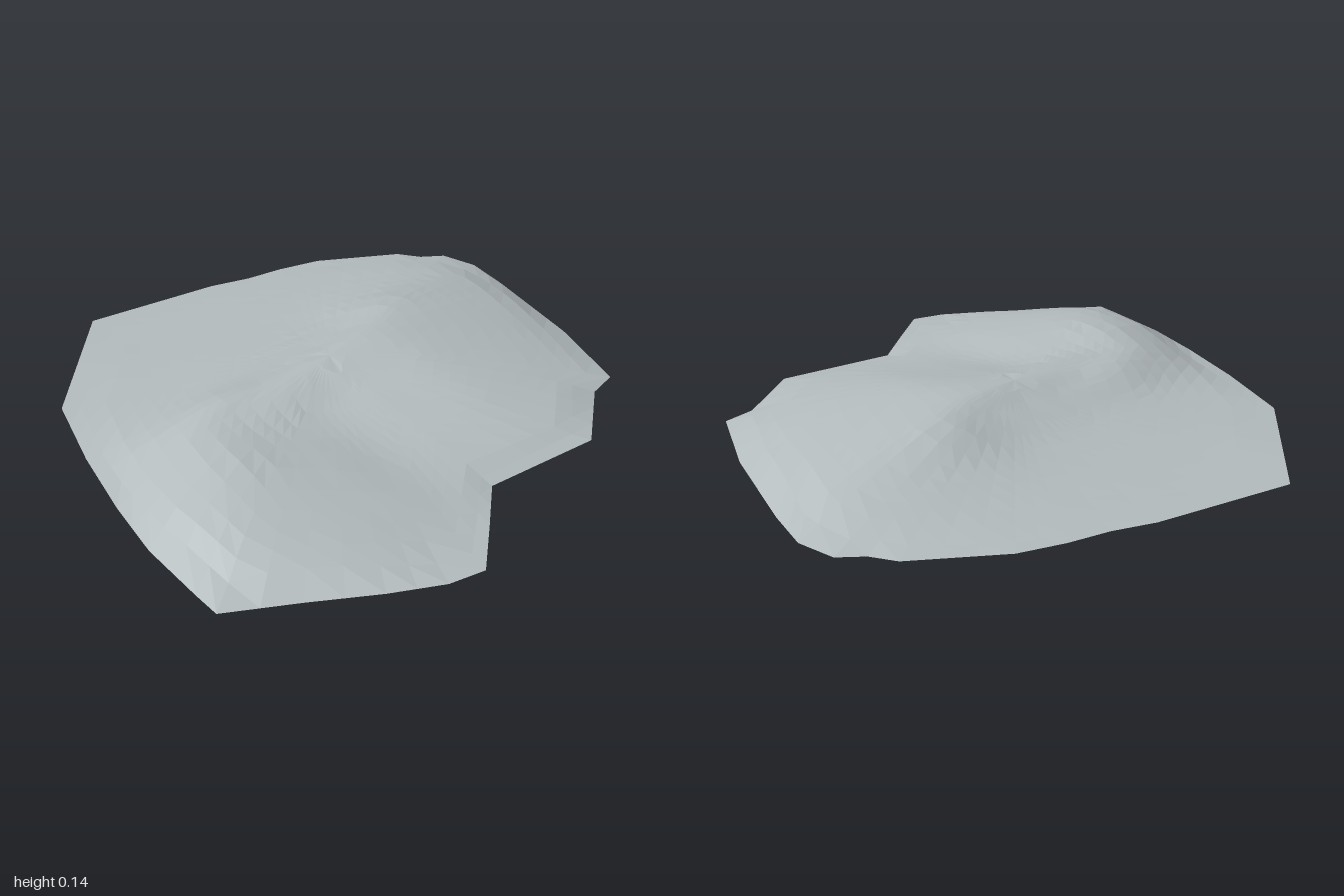
import * as THREE from 'three';

// Shoreline seen from above: x, z, counter-clockwise from the back
const OUTLINE = [
  [-0.16, -1], [-0.29, -0.985], [-0.35, -0.92], [-0.43, -0.88], [-0.62, -0.64], [-0.68, -0.5],
  [-0.72, -0.37], [-0.78, -0.24], [-0.91, 0.21], [-0.56, 0.64], [-0.29, 0.77], [-0.04, 0.87],
  [0.17, 0.94], [0.4, 0.985], [0.49, 1], [0.63, 0.82], [0.77, 0.65], [0.87, 0.51], [0.91, 0.4],
  [0.8, 0.23], [0.7, 0.08], [0.79, -0.31], [0.65, -0.55], [0.64, -0.66], [0.36, -0.81], [0, -0.95],
];

// Height profiles across the ridge, in thousandths; one row for every 0.2 of z
const COLUMNS = [-0.9, -0.6, -0.4, -0.25, -0.1, 0, 0.15, 0.35, 0.55, 0.8];
const PROFILES = [
  [0, 5, 5, 10, 10, 10, 10, 10, 5, 5],
  [0, 2, 15, 36, 56, 60, 50, 20, 10, 5],
  [0, 5, 25, 55, 95, 101, 87, 60, 30, 8],
  [0, 10, 30, 63, 124, 130, 116, 87, 52, 10],
  [0, 12, 30, 55, 108, 142, 130, 97, 57, 12],
  [0, 12, 30, 55, 102, 135, 112, 78, 46, 10],
  [0, 12, 30, 55, 104, 125, 88, 62, 42, 12],
  [0, 12, 26, 52, 116, 112, 99, 86, 60, 15],
  [0, 6, 20, 40, 84, 106, 121, 100, 66, 20],
  [0, 3, 10, 14, 24, 50, 80, 87, 50, 12],
  [10, 10, 10, 10, 10, 10, 12, 14, 12, 10],
];

const { clamp } = THREE.MathUtils;

// Smooth interpolation through evenly indexed values
function sample(values, t) {
  const last = values.length - 1;
  const i = Math.min(Math.floor(t), last - 1);
  const at = (k) => values[clamp(k, 0, last)];
  const [a, b, c, d] = [at(i - 1), at(i), at(i + 1), at(i + 2)];
  const f = t - i;
  return b + 0.5 * f * (c - a + f * (2 * a - 5 * b + 4 * c - d + f * (3 * (b - c) + d - a)));
}

function heightAt(x, z) {
  const cx = clamp(x, COLUMNS[0], COLUMNS[COLUMNS.length - 1]);
  let i = 0;
  while (i < COLUMNS.length - 2 && cx > COLUMNS[i + 1]) i++;
  const u = i + (cx - COLUMNS[i]) / (COLUMNS[i + 1] - COLUMNS[i]);
  const v = clamp((z + 1) * 5, 0, 10);
  return Math.max(0, sample(PROFILES.map((row) => sample(row, u)), v)) / 1000;
}

// Edge height: resting on the ground at the left, slightly raised at the front
const edgeHeight = (x, z) => clamp(0.006 + 0.006 * x + 0.006 * z, 0, 0.016);

function hillGeometry() {
  const rings = 13;
  const loop = [];
  OUTLINE.forEach(([x, z], i) => {
    const [nx, nz] = OUTLINE[(i + 1) % OUTLINE.length];
    const steps = Math.max(1, Math.round(Math.hypot(nx - x, nz - z) / 0.1));
    for (let k = 0; k < steps; k++) {
      loop.push([x + ((nx - x) * k) / steps, z + ((nz - z) * k) / steps]);
    }
  });
  const n = loop.length;
  const positions = [0, heightAt(0, 0), 0];
  const index = [];
  for (let r = 1; r <= rings; r++) {
    loop.forEach(([ex, ez], j) => {
      // Uneven spacing inside gives irregular facets
      const wobble = r < rings ? 0.22 * Math.sin(j * 12.9 + r * 7.3) : 0;
      const s = (r + wobble) / rings;
      const x = ex * s;
      const z = ez * s;
      const fade = Math.min(1, (1 - s) / 0.1);
      positions.push(x, THREE.MathUtils.lerp(edgeHeight(ex, ez), heightAt(x, z), fade), z);
      const next = (j + 1) % n;
      const a = 1 + (r - 1) * n + j;
      const b = 1 + (r - 1) * n + next;
      if (r === 1) index.push(0, a, b);
      else index.push(a - n, a, b, a - n, b, b - n);
    });
  }
  const geometry = new THREE.BufferGeometry();
  geometry.setAttribute('position', new THREE.Float32BufferAttribute(positions, 3));
  geometry.setIndex(index);
  geometry.computeVertexNormals();
  return geometry;
}

export function createModel() {
  const group = new THREE.Group();
  group.name = 'terrain';
  const rock = new THREE.MeshStandardMaterial({ color: 0xb5bdbf, flatShading: true, side: THREE.DoubleSide });
  rock.name = 'pale grey rock';

  // Open sheet of ground with a ridge, a side valley and a front spur
  const hill = new THREE.Mesh(hillGeometry(), rock);
  hill.name = 'hillSurface';
  group.add(hill);
  return group;
}
